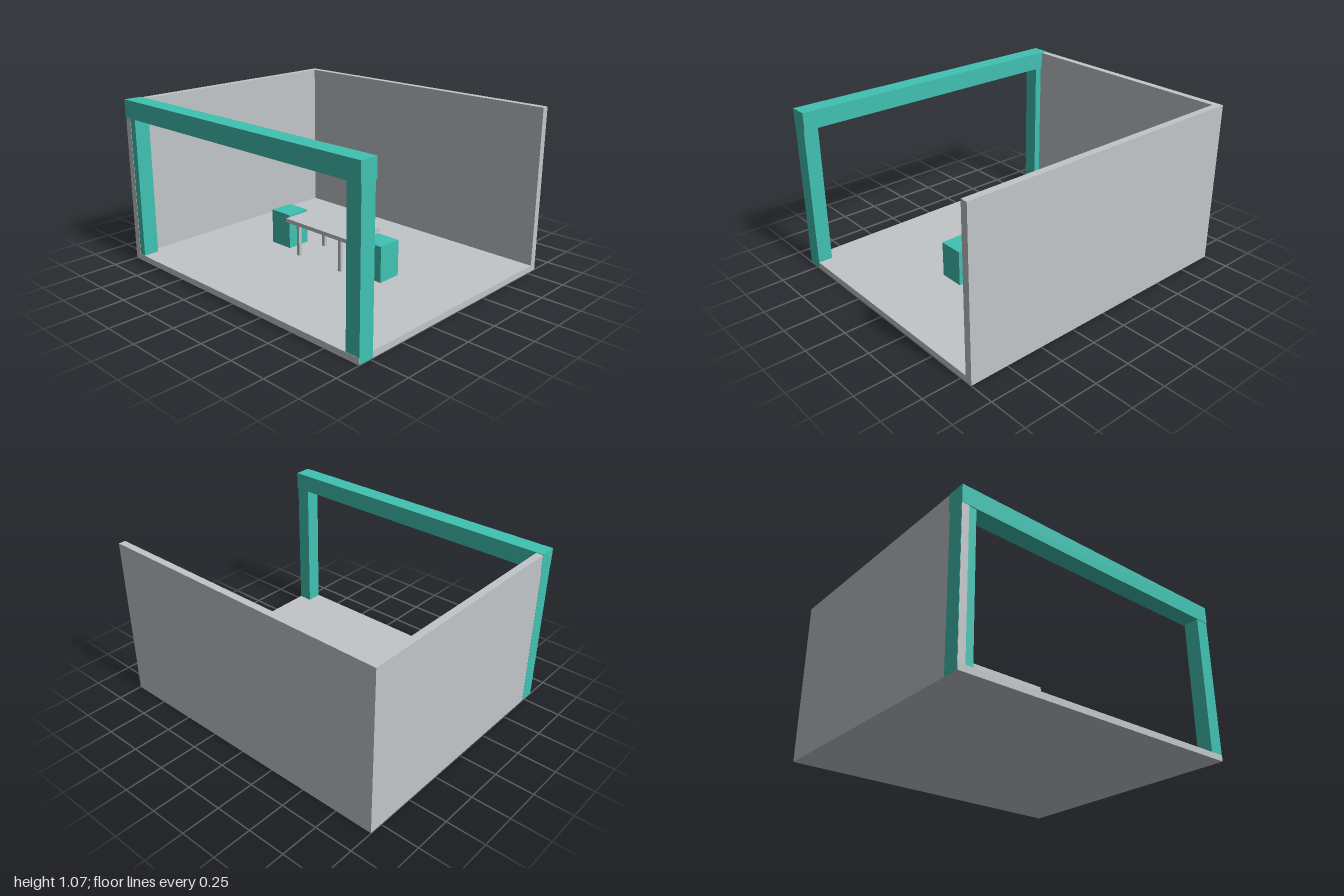
import * as THREE from 'three';

export function createModel() {
  const model = new THREE.Group();
  model.name = 'openRoom';

  const grey = new THREE.MeshStandardMaterial({ color: 0xc2c6c9 });
  grey.name = 'light grey';
  const teal = new THREE.MeshStandardMaterial({ color: 0x40c2b2 });
  teal.name = 'teal';

  // Box given by its lower and upper limits on each axis
  function block(name, material, [x0, x1], [y0, y1], [z0, z1], parent = model) {
    const mesh = new THREE.Mesh(new THREE.BoxGeometry(x1 - x0, y1 - y0, z1 - z0), material);
    mesh.position.set((x0 + x1) / 2, (y0 + y1) / 2, (z0 + z1) / 2);
    mesh.name = name;
    parent.add(mesh);
  }

  // Room shell: floor, back wall and one side wall
  const floorTop = 0.04;
  block('floor', grey, [-0.999, 0.999], [0, floorTop], [-0.836, 0.834]);
  block('backWall', grey, [-0.999, 0.999], [floorTop, 1.066], [-0.836, -0.79]);
  block('sideWall', grey, [-0.999, -0.953], [floorTop, 1.066], [-0.79, 0.834]);

  // Front frame: two posts and a wider beam
  block('rightPost', teal, [-1, -0.905], [0.001, 0.955], [0.73, 0.832]);
  block('leftPost', teal, [0.905, 1], [0.001, 0.955], [0.73, 0.832]);
  block('frontBeam', teal, [-1, 1], [0.954, 1.07], [0.72, 0.836]);

  // Table
  const table = new THREE.Group();
  table.name = 'table';
  model.add(table);
  block('tableTop', grey, [-0.28, 0.273], [0.254, 0.28], [-0.155, 0.144], table);
  for (const x of [-0.188, 0.183]) {
    for (const z of [-0.119, 0.115]) {
      block('tableLeg', grey, [x - 0.011, x + 0.011], [floorTop, 0.254], [z - 0.011, z + 0.011], table);
    }
  }

  // Block stools at both ends of the table
  for (const x of [-0.404, 0.4]) {
    block('stool', teal, [x - 0.084, x + 0.084], [floorTop, 0.274], [-0.086, 0.078]);
  }

  return model;
}
